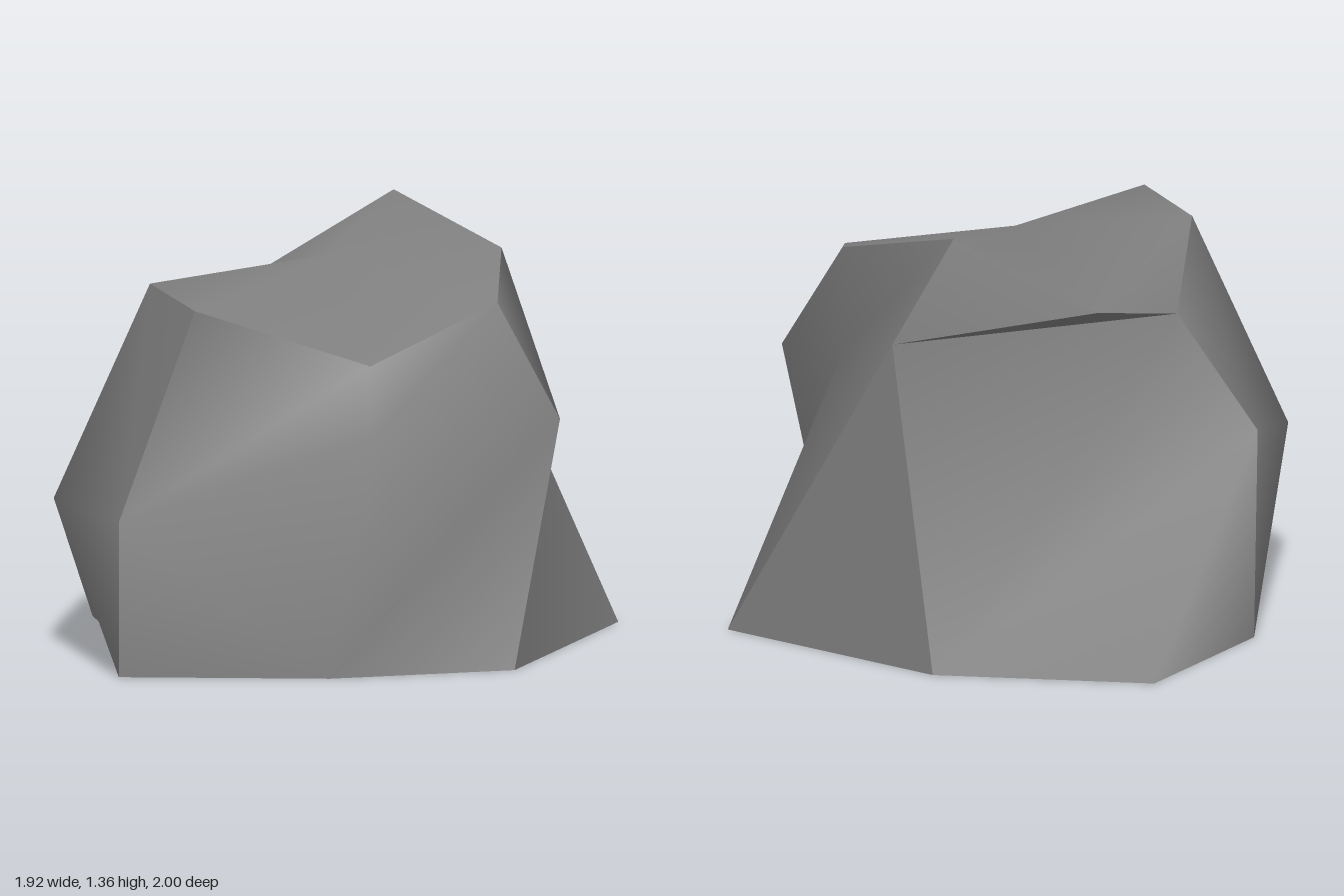
import * as THREE from 'three';

// Named corners of the boulder
const corners = {
  // ground outline
  gFront: [0.28, 0, 1], gFrontMid: [-0.34, 0, 0.97], gFrontLow: [-0.96, 0, 0.7],
  gNotch: [-0.71, 0, 0.12], gBackLow: [-0.57, 0, -0.58], gBack: [-0.06, 0, -1],
  gBackHigh: [0.56, 0, -0.64], gSide: [0.96, 0, 0.13],
  // middle bulges
  mFront: [-0.19, 0.77, 0.97], mCorner: [-0.96, 0.5, 0.7], mSide: [-0.965, 0.5, 0.12],
  mBack: [-0.63, 0.65, -0.46], mEdge: [0.54, 0.76, 0.72], mHigh: [0.62, 1.05, -0.44],
  mWall: [0.55, 0.88, 0.16],
  // top rim and crown
  rBack: [-0.44, 1.0, -0.24], rSide: [-0.67, 1.19, 0.21], rCorner: [-0.7, 1.17, 0.7],
  rDip: [-0.1, 0.96, 0.7], rFront: [0.39, 1.12, 0.55], rHigh: [0.565, 1.23, 0.12],
  rPeak: [0.38, 1.36, -0.37], rNotch: [-0.08, 1.09, -0.455],
  crown: [-0.03, 1.24, 0.13], ground: [0, 0, 0],
};

// One smooth-shaded side from counter-clockwise polygons; edges between sides stay sharp
function side(name, polygons, material) {
  const names = [...new Set(polygons.flat())];
  const index = [];
  for (const p of polygons) {
    for (let i = 1; i < p.length - 1; i++) {
      index.push(names.indexOf(p[0]), names.indexOf(p[i]), names.indexOf(p[i + 1]));
    }
  }
  const geometry = new THREE.BufferGeometry();
  geometry.setAttribute('position', new THREE.Float32BufferAttribute(names.flatMap(n => corners[n]), 3));
  geometry.setIndex(index);
  geometry.computeVertexNormals();
  const mesh = new THREE.Mesh(geometry, material);
  mesh.name = name;
  return mesh;
}

// Closed ring of triangles around a centre corner
const fan = (centre, ring) => ring.map((n, i) => [centre, n, ring[(i + 1) % ring.length]]);

export function createModel() {
  const stone = new THREE.MeshStandardMaterial({ color: 0x7f7f7f });
  stone.name = 'stone grey';

  const sides = {
    topFace: [
      ...fan('crown', ['rSide', 'rCorner', 'rDip', 'rFront', 'rHigh', 'rPeak', 'rNotch']),
      ['rBack', 'rSide', 'rNotch'],
    ],
    frontFace: [
      ['mCorner', 'gFrontLow', 'gFrontMid', 'mFront'],
      ['mFront', 'gFrontMid', 'mEdge'],
      ['gFrontMid', 'gFront', 'mEdge'],
      ['rCorner', 'mCorner', 'rDip'],
      ['mCorner', 'mFront', 'rDip'],
      ['rDip', 'mFront', 'rFront'],
      ['mFront', 'mEdge', 'rFront'],
    ],
    leftFrontFace: [
      ['rFront', 'mEdge', 'rHigh'],
      ...fan('mWall', ['rHigh', 'mEdge', 'gFront', 'gSide', 'mHigh', 'rPeak']),
    ],
    leftBackFace: [['gSide', 'gBackHigh', 'mHigh']],
    backFace: [
      ['rPeak', 'mHigh', 'rNotch'],
      ['mHigh', 'gBackHigh', 'rBack'],
      ['gBackHigh', 'mBack', 'rBack'],
      ['gBackHigh', 'gBack', 'mBack'],
      ['gBack', 'gBackLow', 'mBack'],
    ],
    backOverhang: [['mHigh', 'rBack', 'rNotch']],
    rightFace: [
      ['mBack', 'gBackLow', 'mSide'],
      ['gBackLow', 'gNotch', 'mSide'],
      ['mSide', 'gNotch', 'gFrontLow', 'mCorner'],
      ['rBack', 'mBack', 'rSide'],
      ['mBack', 'mSide', 'rSide'],
      ['rSide', 'mSide', 'mCorner', 'rCorner'],
    ],
    baseFace: fan('ground', ['gFront', 'gFrontMid', 'gFrontLow', 'gNotch',
      'gBackLow', 'gBack', 'gBackHigh', 'gSide']),
  };

  const boulder = new THREE.Group();
  boulder.name = 'boulder';
  for (const [name, polygons] of Object.entries(sides)) boulder.add(side(name, polygons, stone));
  return boulder;
}
